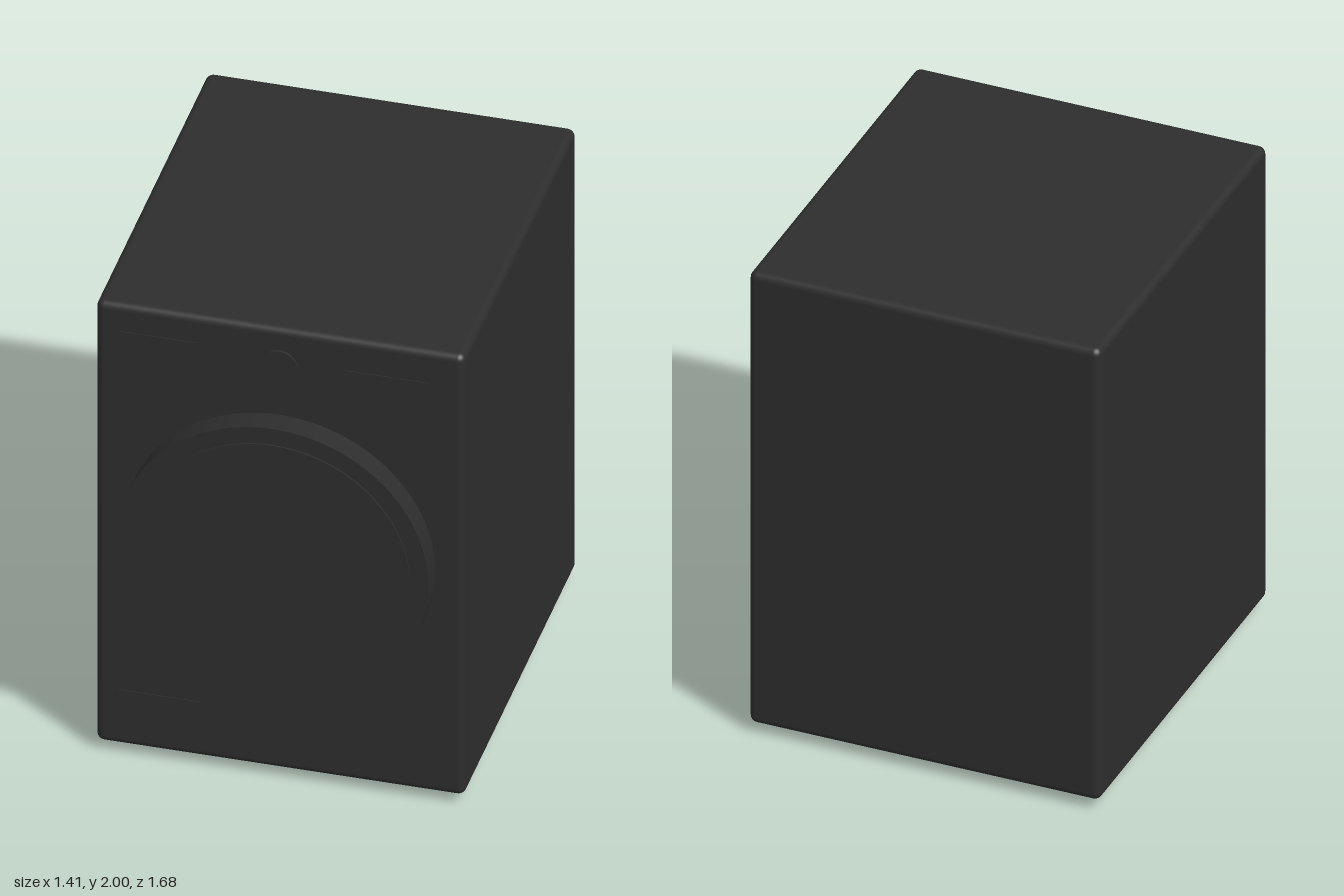
import * as THREE from 'three';
import { RoundedBoxGeometry } from 'three/addons/geometries/RoundedBoxGeometry.js';

export function createModel() {
  const group = new THREE.Group();
  const charcoal = new THREE.MeshStandardMaterial({ color: 0x2d2d2d });
  charcoal.name = 'charcoal';

  const add = (name, geometry, x, y, z) => {
    const mesh = new THREE.Mesh(geometry, charcoal);
    mesh.name = name;
    mesh.position.set(x, y, z);
    group.add(mesh);
    return mesh;
  };
  // Disc facing forward, spanning z0 to z1
  const disc = (name, radius, y, z0, z1, segments) => {
    const g = new THREE.CylinderGeometry(radius, radius, z1 - z0, segments);
    g.rotateX(Math.PI / 2);
    return add(name, g, 0, y, (z0 + z1) / 2);
  };

  // Cabinet
  const front = 0.735;
  add('cabinet', new RoundedBoxGeometry(1.41, 1.96, 1.575, 4, 0.03), 0, 1.02, front - 0.7875);

  // Door rim and slightly raised glass
  disc('doorRim', 0.595, 1.025, front - 0.02, 0.833, 96);
  disc('doorGlass', 0.525, 1.025, 0.8, 0.84, 96);

  // Program dial
  disc('dial', 0.068, 1.84, front - 0.01, 0.746, 48);

  // Thin plates on the front: name, x0, x1, y0, y1
  for (const [name, x0, x1, y0, y1] of [
    ['detergentDrawer', -0.61, -0.32, 1.79, 1.885],
    ['displayPanel', 0.25, 0.57, 1.8, 1.863],
    ['filterCover', -0.62, -0.305, 0.07, 0.288],
  ]) {
    add(name, new THREE.BoxGeometry(x1 - x0, y1 - y0, 0.008),
      (x0 + x1) / 2, (y0 + y1) / 2, front);
  }

  // Feet
  for (const x of [-0.618, 0.618]) {
    for (const z of [0.63, -0.705]) {
      add('foot', new THREE.CylinderGeometry(0.023, 0.023, 0.06, 20), x, 0.03, z);
    }
  }
  return group;
}
